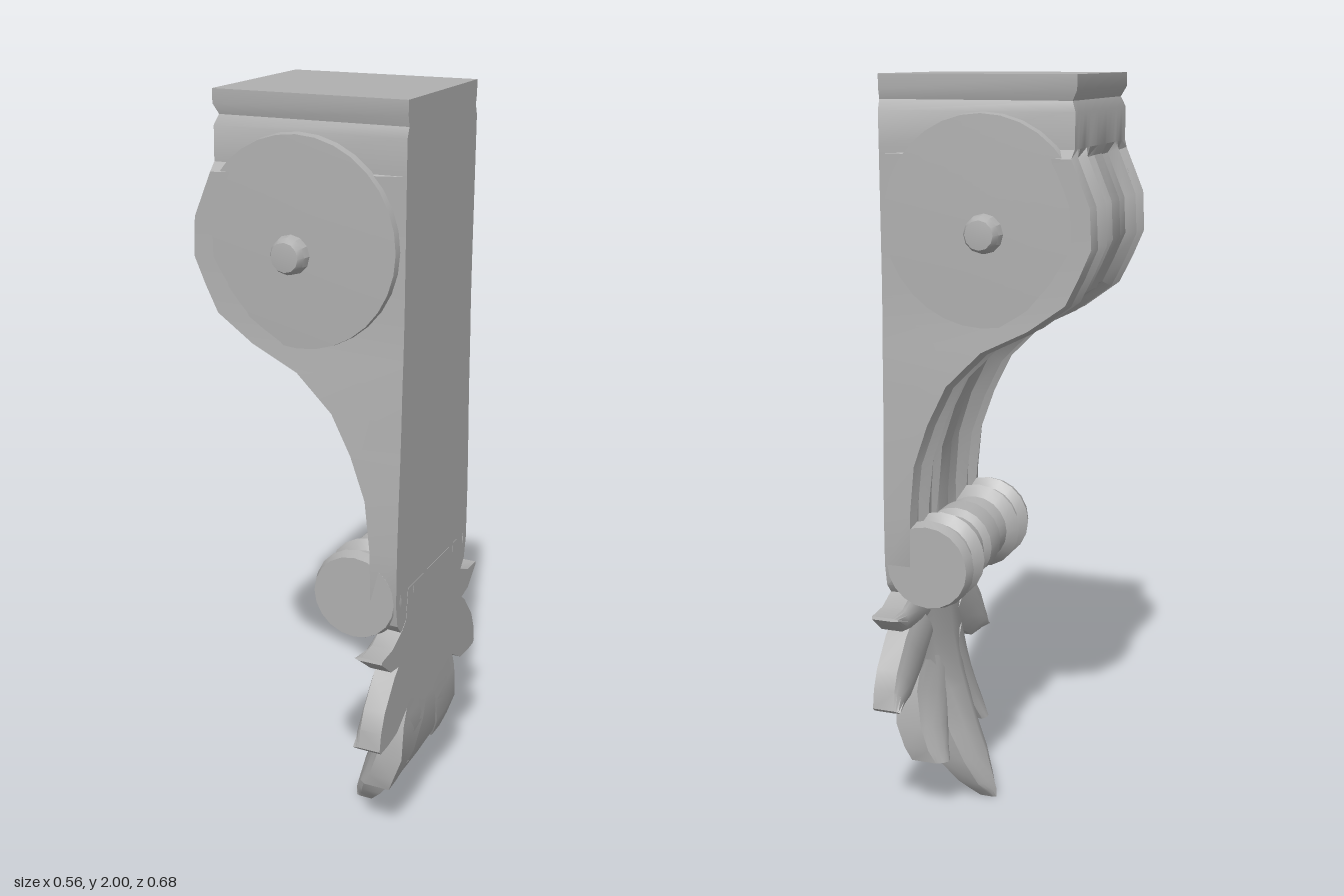
import * as THREE from 'three';
import { toCreasedNormals } from 'three/addons/utils/BufferGeometryUtils.js';

const stone = new THREE.MeshStandardMaterial({ color: 0xb0b0b0 });
stone.name = 'stone grey';

// Skin a row of equal-length closed rings and cap both ends
function loft(rings, crease = 0.6) {
  const n = rings[0].length, pos = [], idx = [];
  rings.forEach(r => r.forEach(p => pos.push(...p)));
  for (let i = 0; i < rings.length - 1; i++) {
    for (let j = 0; j < n; j++) {
      const a = i * n + j, b = i * n + (j + 1) % n;
      idx.push(a, b, b + n, a, b + n, a + n);
    }
  }
  [0, rings.length - 1].forEach((r, end) => {
    const c = pos.length / 3;
    pos.push(...[0, 1, 2].map(k => rings[r].reduce((s, p) => s + p[k], 0) / n));
    for (let j = 0; j < n; j++) {
      const a = r * n + j, b = r * n + (j + 1) % n;
      if (end) idx.push(a, b, c); else idx.push(b, a, c);
    }
  });
  // Turn the faces outward if the enclosed volume is negative
  const v = i => new THREE.Vector3().fromArray(pos, i * 3);
  let volume = 0;
  for (let i = 0; i < idx.length; i += 3) volume += v(idx[i]).dot(v(idx[i + 1]).cross(v(idx[i + 2])));
  if (volume < 0) idx.reverse();
  const g = new THREE.BufferGeometry();
  g.setAttribute('position', new THREE.Float32BufferAttribute(pos, 3));
  g.setIndex(idx);
  return toCreasedNormals(g, crease);
}

// Piecewise linear lookup in rows of [key, value], keys rising
function lerpTable(table, k) {
  for (let i = 1; i < table.length; i++) {
    const [k0, v0] = table[i - 1], [k1, v1] = table[i];
    if (k <= k1 || i === table.length - 1) {
      return v0 + (v1 - v0) * THREE.MathUtils.clamp((k - k0) / (k1 - k0), 0, 1);
    }
  }
}

// Flute cross-section: [fraction of half width, depth]
const FLUTES = [[1, 0.008], [0.88, 0], [0.8, 0.02], [0.66, 0.02], [0.56, 0], [0.44, 0.022],
  [0.22, 0.028], [0.14, 0.015]];
const ACROSS = [...FLUTES, ...FLUTES.map(([s, d]) => [-s, d]).reverse()];

// Bracket stations: [y, front x, front half width, back half width, flute strength]
const STATIONS = [
  [2, -0.225, 0.218, 0.218, 0], [1.965, -0.225, 0.218, 0.218, 0], [1.94, -0.212, 0.21, 0.212, 0],
  [1.915, -0.222, 0.22, 0.222, 0], [1.83, -0.222, 0.222, 0.222, 0], [1.812, -0.228, 0.246, 0.222, 1],
  [1.7, -0.275, 0.246, 0.222, 1], [1.6, -0.28, 0.246, 0.222, 1], [1.53, -0.25, 0.247, 0.222, 1],
  [1.46, -0.215, 0.248, 0.223, 1], [1.39, -0.12, 0.248, 0.225, 1.2], [1.33, 0, 0.248, 0.228, 1.3],
  [1.24, 0.09, 0.248, 0.23, 1.4], [1.14, 0.14, 0.248, 0.234, 1.4], [1.03, 0.18, 0.248, 0.24, 1.2],
  [0.9, 0.195, 0.247, 0.245, 1], [0.76, 0.2, 0.246, 0.246, 0.8], [0.7, 0.205, 0.23, 0.235, 0],
  [0.655, 0.21, 0.19, 0.195, 0],
];

function bracketGeometry() {
  return loft(STATIONS.map(([y, x, wf, wb, flute], i) => {
    const a = STATIONS[Math.max(i - 1, 0)], b = STATIONS[Math.min(i + 1, STATIONS.length - 1)];
    const dx = b[1] - a[1], dy = b[0] - a[0], len = Math.hypot(dx, dy);
    // flutes sink along the inward normal of the front curve
    const ring = ACROSS.map(([s, d]) => {
      const sink = d * flute;
      return [x - dy / len * sink, y + (flute ? dx / len * sink : 0), s * wf];
    });
    return [...ring, [0.277, y, -wb], [0.277, y, wb]];
  }), 0.5);
}

// Lathe turned so that its axis runs along z
function turned(points, segments) {
  const g = new THREE.LatheGeometry(points.map(([r, h]) => new THREE.Vector2(r, h)), segments);
  g.rotateX(Math.PI / 2);
  return toCreasedNormals(g, 0.5);
}

// Leaf front and back faces as x over y
const LEAF_FRONT = [[0, 0.06], [0.03, 0.06], [0.13, 0.085], [0.25, 0.13], [0.4, 0.17], [0.5, 0.187], [0.65, 0.2]];
const LEAF_BACK = [[0, 0.105], [0.08, 0.17], [0.18, 0.24], [0.28, 0.278], [0.8, 0.278]];

// A domed lobe along a spine of [z, y, half width]
function lobeGeometry(spine, side) {
  const sideways = [-1, -0.8, -0.5, 0, 0.5, 0.8, 1];
  return loft(spine.map(([z, y, w], i) => {
    const a = spine[Math.max(i - 1, 0)], b = spine[Math.min(i + 1, spine.length - 1)];
    const dz = b[0] - a[0], dy = b[1] - a[1], len = Math.hypot(dz, dy);
    const at = s => [z - dy / len * s * w, y + dz / len * s * w];
    const front = sideways.map(s => {
      const [pz, py] = at(s);
      const x = Math.min(lerpTable(LEAF_FRONT, py) + 0.25 * Math.abs(pz), 0.202);
      return [x + 0.018 * s * s, py, pz * side];
    });
    const back = [1, 0, -1].map(s => {
      const [pz, py] = at(s);
      return [lerpTable(LEAF_BACK, py), py, pz * side];
    });
    return [...front, ...back];
  }), 0.7);
}

const CENTRE_LOBE = [[0, 0.78, 0.17], [0, 0.7, 0.18], [0, 0.6, 0.19], [0, 0.5, 0.18], [0, 0.4, 0.155],
  [0, 0.34, 0.11], [0, 0.22, 0.09], [0, 0.14, 0.08], [0, 0.06, 0.048], [0, 0.03, 0.025], [0, 0.003, 0.003]];
const SIDE_LOBES = {
  lowerLobe: [[0.08, 0.45, 0.07], [0.115, 0.36, 0.072], [0.14, 0.27, 0.057], [0.155, 0.21, 0.042], [0.158, 0.175, 0.027]],
  middleLobe: [[0.12, 0.56, 0.08], [0.2, 0.5, 0.08], [0.27, 0.44, 0.065], [0.31, 0.412, 0.037], [0.337, 0.388, 0.006]],
  upperLobe: [[0.12, 0.64, 0.09], [0.2, 0.625, 0.05], [0.27, 0.62, 0.03], [0.332, 0.643, 0.004]],
};

export function createModel() {
  const model = new THREE.Group();
  model.name = 'scrollBracket';
  const add = (name, geometry, x = 0, y = 0, z = 0, parent = model) => {
    const mesh = new THREE.Mesh(geometry, stone);
    mesh.name = name;
    mesh.position.set(x, y, z);
    parent.add(mesh);
    return mesh;
  };

  add('bracketBody', bracketGeometry());

  // Round side discs with a button in the middle
  const disc = turned([[0.262, 0.2], [0.256, 0.243], [0, 0.25]], 32);
  const button = turned([[0.05, 0.24], [0.045, 0.27], [0.036, 0.287], [0, 0.291]], 12);
  for (const side of [1, -1]) {
    const end = side > 0 ? 'left' : 'right';
    add(end + 'Disc', disc, 0.005, 1.655).rotation.y = side > 0 ? 0 : Math.PI;
    add(end + 'Button', button, -0.005, 1.63).rotation.y = side > 0 ? 0 : Math.PI;
  }

  // Fluted roll at the foot of the bracket
  const roll = ACROSS.map(([s, d]) => [0.12 - 1.2 * d, s * 0.246]).reverse();
  add('footScroll', turned([[0, -0.246], ...roll, [0, 0.246]], 20), 0.16, 0.763);

  // Hanging leaf
  const leaf = new THREE.Group();
  leaf.name = 'leaf';
  model.add(leaf);
  add('centreLobe', lobeGeometry(CENTRE_LOBE, 1), 0, 0, 0, leaf);
  for (const [name, spine] of Object.entries(SIDE_LOBES)) {
    for (const side of [1, -1]) add(name, lobeGeometry(spine, side), 0, 0, 0, leaf);
  }
  return model;
}
